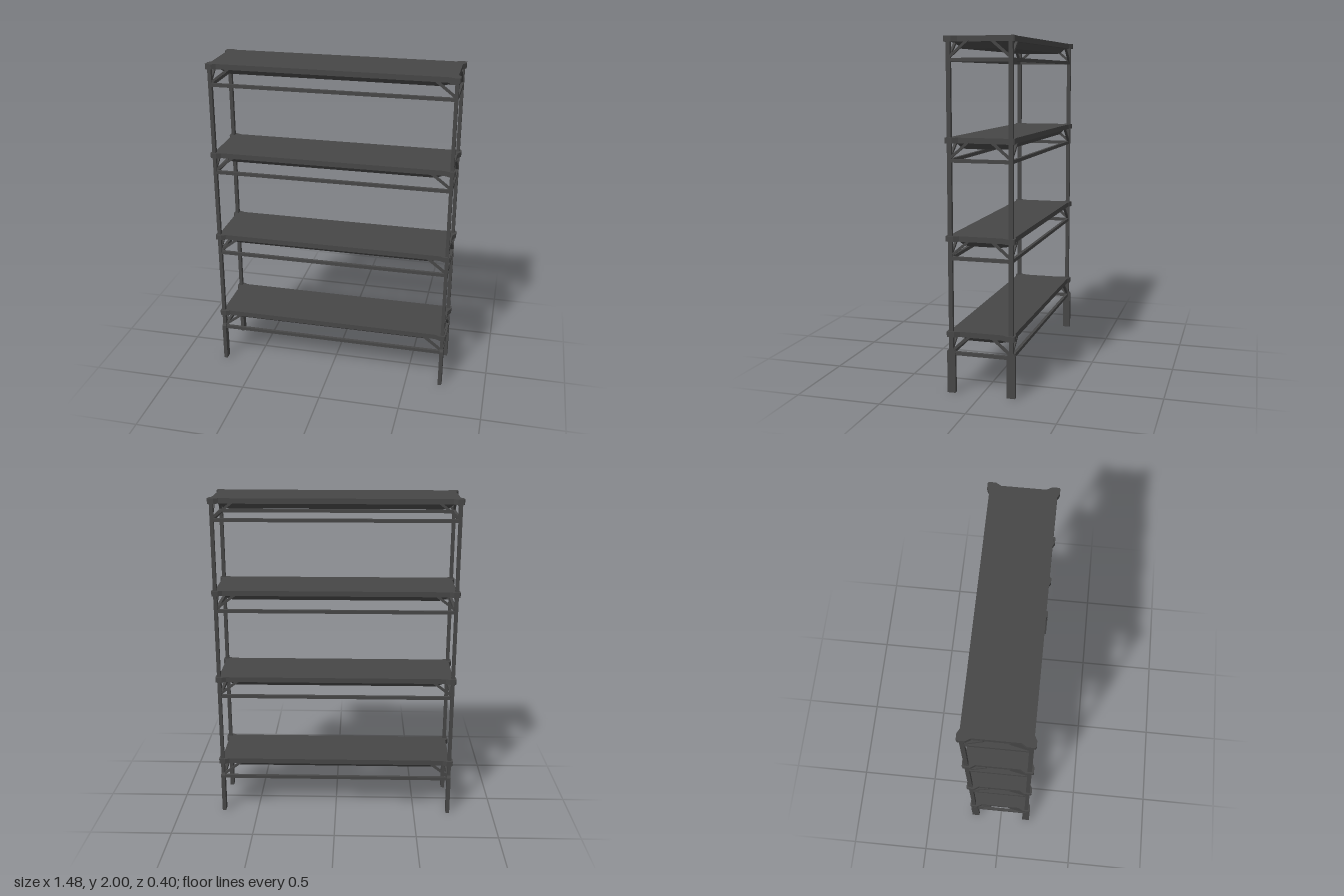
import * as THREE from 'three';

const POST_X = 0.718, POST_Z = 0.176;
const LEVELS = [0.36, 0.908, 1.454, 2.0]; // top surface of each shelf
const steel = new THREE.MeshStandardMaterial({ color: 0x464646 });
steel.name = 'dark steel';

function add(parent, name, geometry, x = 0, y = 0, z = 0) {
  const mesh = new THREE.Mesh(geometry, steel);
  mesh.name = name;
  mesh.position.set(x, y, z);
  parent.add(mesh);
  return mesh;
}

// Mirrors one corner's outline into a closed four-way symmetric shape
function symmetricShape(corner) {
  const pts = [];
  const flip = (sx, sy, list) => list.forEach(([x, y]) => pts.push(new THREE.Vector2(sx * x, sy * y)));
  const back = [...corner].reverse();
  flip(1, 1, corner);
  flip(-1, 1, back);
  flip(-1, -1, corner);
  flip(1, -1, back);
  return new THREE.Shape(pts);
}

// Flat plate whose top lies on y = 0
function plate(corner, depth) {
  return new THREE.ExtrudeGeometry(symmetricShape(corner), { depth, bevelEnabled: false }).rotateX(Math.PI / 2);
}

// Square bar between two points
function bar(parent, name, a, b, size) {
  const from = new THREE.Vector3(...a), to = new THREE.Vector3(...b);
  const mesh = add(parent, name, new THREE.BoxGeometry(size, size, from.distanceTo(to)));
  mesh.position.copy(from).add(to).multiplyScalar(0.5);
  mesh.lookAt(to);
}

function createShelf() {
  const shelf = new THREE.Group();
  shelf.name = 'shelf';

  // Top plate with widened corner tabs
  add(shelf, 'shelfTop', plate([
    [0.72, 0.125], [0.738, 0.155], [0.738, 0.194], [0.732, 0.2], [0.7, 0.2], [0.675, 0.186],
  ], 0.031));

  // Tray under the plate, tapering towards its flat bottom
  const tray = plate([[0.695, 0.125], [0.655, 0.165]], 0.036);
  const p = tray.attributes.position;
  for (let i = 0; i < p.count; i++) {
    if (p.getY(i) > -0.01) continue;
    p.setX(i, p.getX(i) - Math.sign(p.getX(i)) * 0.035);
    p.setZ(i, p.getZ(i) - Math.sign(p.getZ(i)) * 0.03);
  }
  tray.computeVertexNormals();
  add(shelf, 'shelfTray', tray, 0, -0.03, 0);

  // Lower rails and diagonal corner braces
  for (const s of [-1, 1]) {
    add(shelf, 'longRail', new THREE.BoxGeometry(POST_X * 2, 0.02, 0.018), 0, -0.127, s * POST_Z);
    add(shelf, 'shortRail', new THREE.BoxGeometry(0.018, 0.02, POST_Z * 2), s * POST_X, -0.127, 0);
    for (const t of [-1, 1]) {
      bar(shelf, 'longBrace', [s * 0.712, -0.112, t * POST_Z], [s * 0.595, -0.022, t * POST_Z], 0.014);
      bar(shelf, 'shortBrace', [s * POST_X, -0.112, t * 0.172], [s * POST_X, -0.022, t * 0.065], 0.014);
    }
  }
  return shelf;
}

export function createModel() {
  const model = new THREE.Group();
  model.name = 'shelvingUnit';

  for (const y of LEVELS) {
    const shelf = createShelf();
    shelf.position.y = y;
    model.add(shelf);
  }

  // Broad foot profile, chamfered at the top, extruded across x
  const footShape = new THREE.Shape([
    [-0.024, 0], [0.024, 0], [0.024, 0.245], [0.012, 0.26], [-0.012, 0.26], [-0.024, 0.245],
  ].map(([x, y]) => new THREE.Vector2(x, y)));
  const foot = new THREE.ExtrudeGeometry(footShape, { depth: 0.023, bevelEnabled: false })
    .translate(0, 0, -0.0115).rotateY(Math.PI / 2);

  // Corner posts and feet
  for (const sx of [-1, 1]) {
    for (const sz of [-1, 1]) {
      add(model, 'post', new THREE.BoxGeometry(0.021, 1.78, 0.024), sx * POST_X, 1.09, sz * POST_Z);
      add(model, 'foot', foot, sx * POST_X, 0, sz * POST_Z);
    }
  }
  return model;
}
